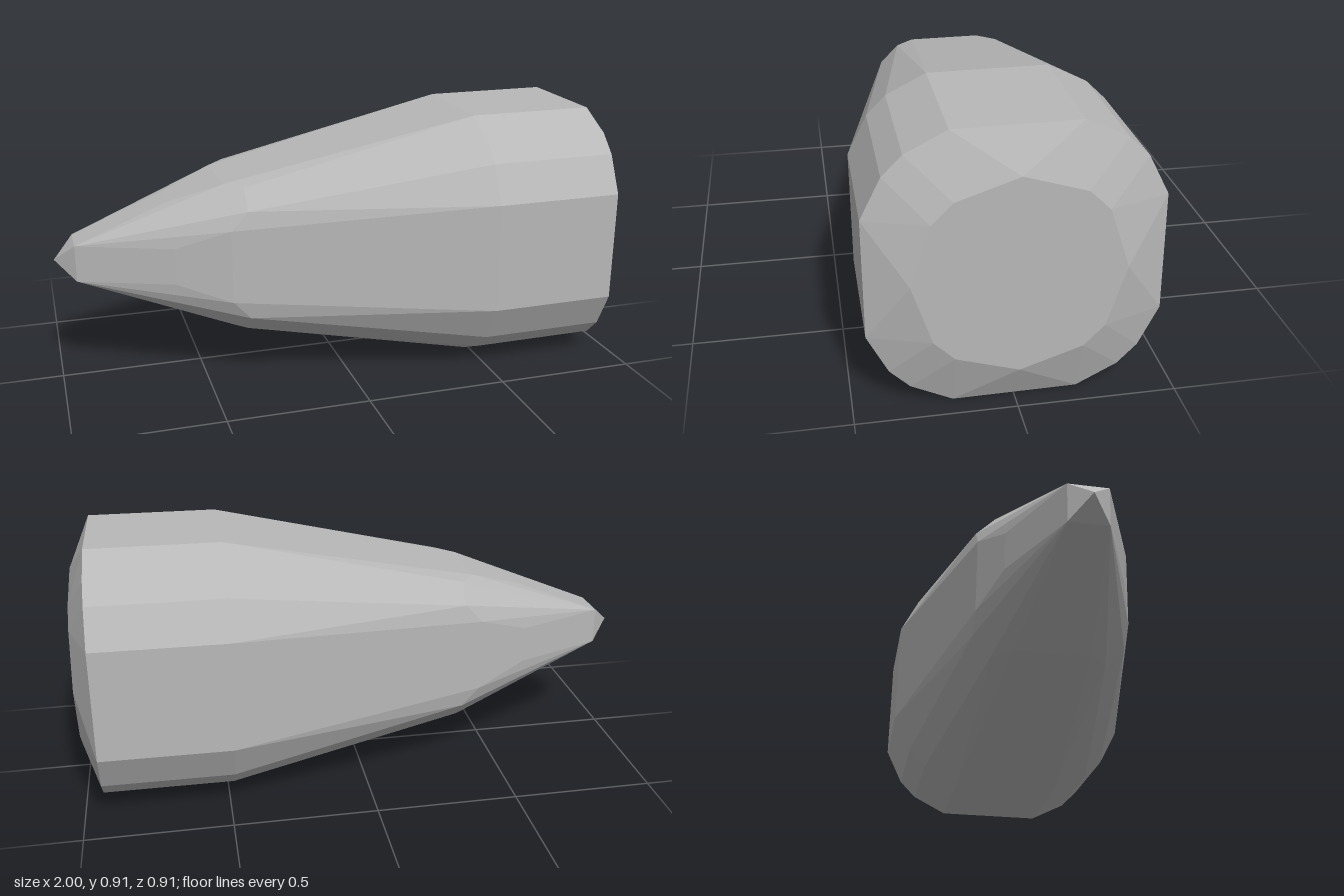
import * as THREE from 'three';
import { ConvexGeometry } from 'three/addons/geometries/ConvexGeometry.js';

// Cross-sections along x: one quadrant of [z, y] corners each, mirrored to four
const sections = [
  [-1, [[0, 0]]],
  [-0.93, [[0.065, 0.065]]],
  [-0.605, [[0.065, 0.195], [0.13, 0.13], [0.195, 0.065]]],
  [-0.42, [[0.13, 0.26], [0.195, 0.195], [0.26, 0.13]]],
  [-0.36, [[0.195, 0.26], [0.26, 0.195]]],
  [0.48, [[0.195, 0.453], [0.325, 0.388], [0.388, 0.325], [0.453, 0.195]]],
  [0.93, [[0.195, 0.453], [0.325, 0.388], [0.388, 0.325], [0.453, 0.195]]],
  [0.995, [[0, 0.323], [0.195, 0.26], [0.26, 0.195], [0.323, 0]]],
];

export function createModel() {
  const group = new THREE.Group();
  group.name = 'facetedBullet';
  const grey = new THREE.MeshStandardMaterial({ color: 0xb8b8b8 });
  grey.name = 'grey';

  // Mirror every corner and skip duplicates lying on the axes
  const points = [];
  for (const [x, corners] of sections) {
    for (const [z, y] of corners) {
      for (const sy of y ? [1, -1] : [1]) {
        for (const sz of z ? [1, -1] : [1]) points.push(new THREE.Vector3(x, sy * y, sz * z));
      }
    }
  }

  // Faceted convex body, tapered nose at -x and bevelled base at +x
  const geometry = new ConvexGeometry(points);
  geometry.rotateX(0.008);
  geometry.rotateZ(0.0055);
  geometry.computeBoundingBox();
  const box = geometry.boundingBox;
  geometry.translate(-(box.min.x + box.max.x) / 2, -box.min.y, -(box.min.z + box.max.z) / 2);

  const body = new THREE.Mesh(geometry, grey);
  body.name = 'body';
  group.add(body);
  return group;
}
